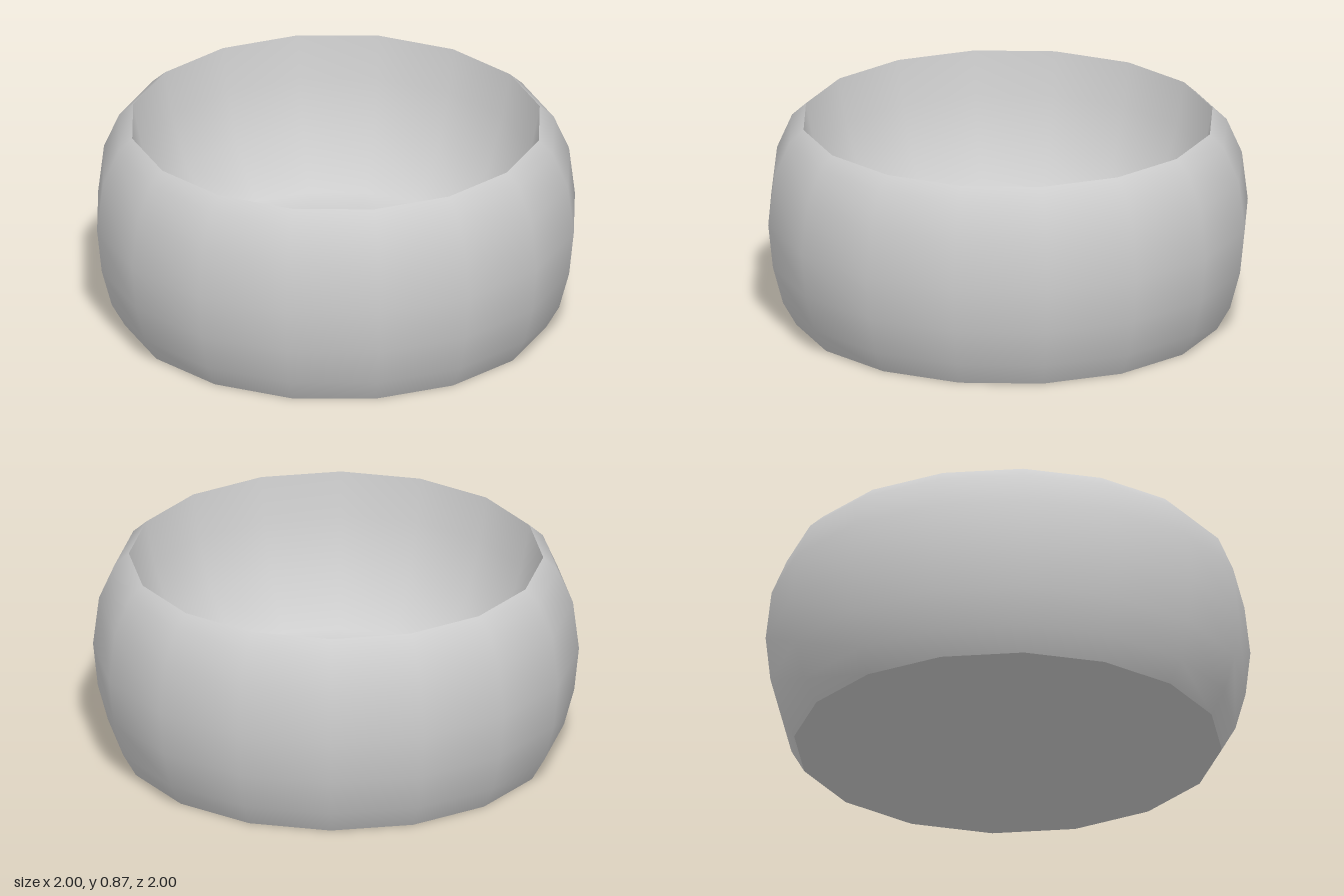
import * as THREE from 'three';

const SIDES = 16;
const TURN = Math.PI / SIDES; // flat faces point along x and z

function lathe(name, profile, material) {
  const points = profile.map(([r, y]) => new THREE.Vector2(r, y));
  const mesh = new THREE.Mesh(new THREE.LatheGeometry(points, SIDES, TURN), material);
  mesh.name = name;
  return mesh;
}

export function createModel() {
  const group = new THREE.Group();
  group.name = 'bowl';
  const grey = new THREE.MeshStandardMaterial({ color: 0xcccccc });
  grey.name = 'grey';

  // Bulging outer wall, from the base up to the rim
  group.add(lathe('outerWall', [
    [0.9, 0], [0.957, 0.1], [1.0, 0.26], [1.02, 0.45],
    [0.995, 0.66], [0.93, 0.81], [0.87, 0.865],
  ], grey));

  // Hollow inside, from the rim down to the flat floor
  group.add(lathe('innerWall', [
    [0.87, 0.865], [0.835, 0.68], [0.765, 0.465],
    [0.615, 0.255], [0.42, 0.25], [0, 0.25],
  ], grey));

  // Flat underside
  const base = new THREE.Mesh(new THREE.CircleGeometry(0.9, SIDES, TURN).rotateX(Math.PI / 2), grey);
  base.name = 'base';
  group.add(base);

  return group;
}
